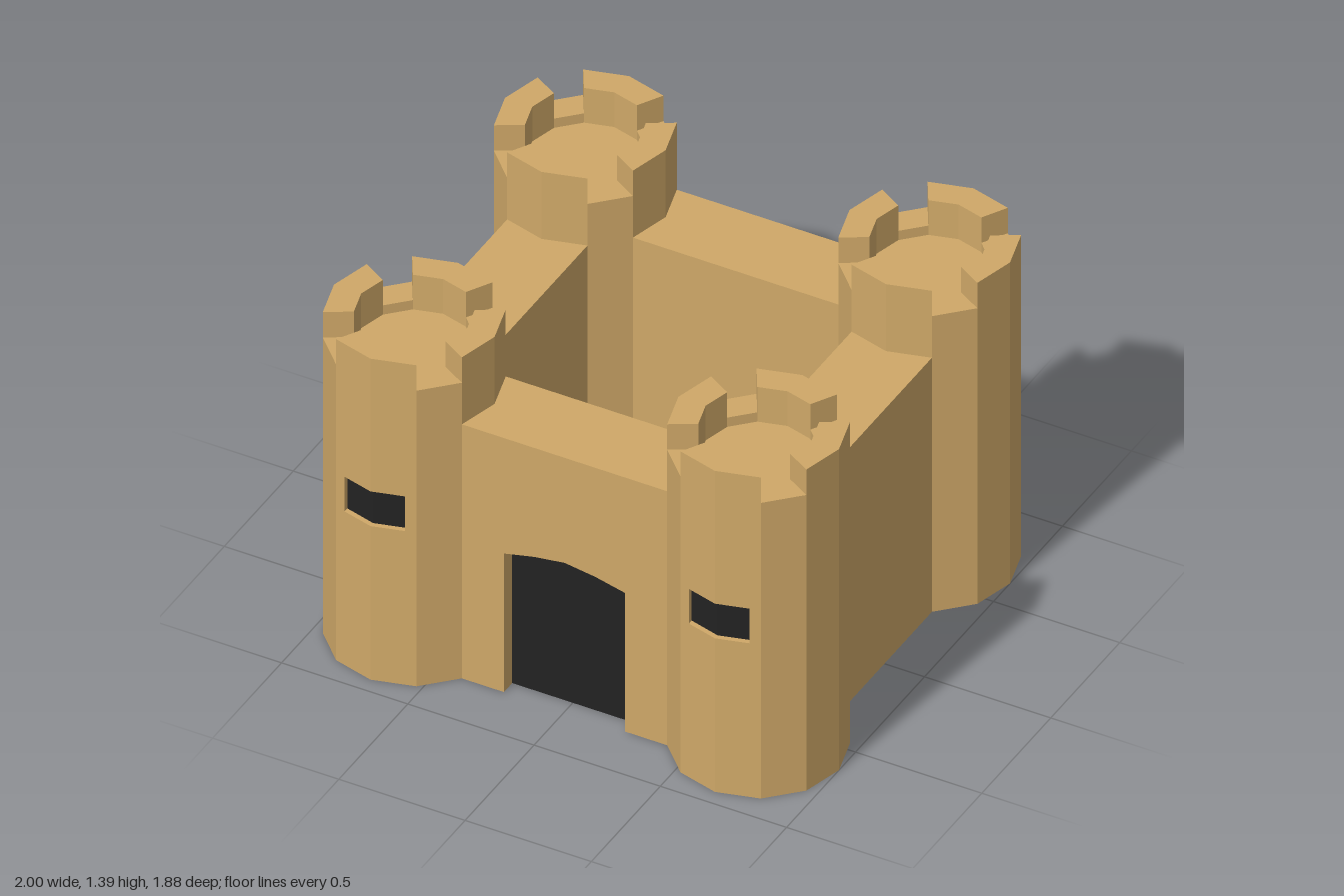
import * as THREE from 'three';

const stone = new THREE.MeshStandardMaterial({ color: 0xcfa868, side: THREE.DoubleSide });
stone.name = 'sandstone';
const dark = new THREE.MeshStandardMaterial({ color: 0x222222, side: THREE.DoubleSide });
dark.name = 'darkOpening';

const CX = 0.682, CZ = 0.62;            // tower centres
const RO = 0.318, RI = 0.21;            // outer and inner tower radius
const TOP = 1.39, NOTCH = 1.28, FLOOR = 1.24, WALL = 1.1;
const STEP = Math.PI / 6;

// Collects flat-shaded quads, optionally mirrored
function quadMesh(name, material, fill, sx = 1, sz = 1) {
  const pos = [];
  const tri = (a, b, c) => {
    const order = sx * sz < 0 ? [a, c, b] : [a, b, c];
    for (const p of order) pos.push(p[0] * sx, p[1], p[2] * sz);
  };
  fill((a, b, c, d) => {
    tri(a, b, c);
    if (d) tri(a, c, d);
  });
  const geo = new THREE.BufferGeometry();
  geo.setAttribute('position', new THREE.Float32BufferAttribute(pos, 3));
  geo.computeVertexNormals();
  const mesh = new THREE.Mesh(geo, material);
  mesh.name = name;
  return mesh;
}

// Point on a tower ring at corner i
const ring = (r, i, y) => [r * Math.cos(i * STEP), y, r * Math.sin(i * STEP)];
const isNotch = i => i % 3 === 1;

// Window opening, following the fold of the two outward facets
const WX = 0.12, WY0 = 0.665, WY1 = 0.815, DEPTH = 0.02;
const foldZ = x => RO - Math.abs(x) * Math.tan(Math.PI / 12);
const onFold = (x, y, d = 0) => [x, y, foldZ(x) - d];

function makeTower(sx, sz) {
  const tower = new THREE.Group();
  tower.name = 'tower';

  tower.add(quadMesh('towerBody', stone, quad => {
    for (let i = 0; i < 12; i++) {
      if (i === 2 || i === 3) continue;                    // window facets
      const joinsWall = [5, 6, 8, 9].includes(i);
      const y0 = joinsWall ? WALL : 0;
      quad(ring(RO, i + 1, y0), ring(RO, i, y0), ring(RO, i, NOTCH), ring(RO, i + 1, NOTCH));
    }
    const panel = (xa, xb, ya, yb) =>
      quad(onFold(xa, ya), onFold(xb, ya), onFold(xb, yb), onFold(xa, yb));
    const e = RO / 2;
    for (const [xa, xb] of [[-e, 0], [0, e]]) {
      panel(xa, xb, 0, WY0);
      panel(xa, xb, WY1, NOTCH);
    }
    panel(-e, -WX, WY0, WY1);
    panel(WX, e, WY0, WY1);
    // window reveals
    for (const [xa, xb] of [[-WX, 0], [0, WX]]) {
      quad(onFold(xa, WY0), onFold(xb, WY0), onFold(xb, WY0, DEPTH), onFold(xa, WY0, DEPTH));
      quad(onFold(xa, WY1, DEPTH), onFold(xb, WY1, DEPTH), onFold(xb, WY1), onFold(xa, WY1));
    }
    quad(onFold(-WX, WY0), onFold(-WX, WY0, DEPTH), onFold(-WX, WY1, DEPTH), onFold(-WX, WY1));
    quad(onFold(WX, WY0, DEPTH), onFold(WX, WY0), onFold(WX, WY1), onFold(WX, WY1, DEPTH));
  }, sx, sz));

  tower.add(quadMesh('window', dark, quad => {
    for (const [xa, xb] of [[-WX, 0], [0, WX]])
      quad(onFold(xa, WY0, DEPTH), onFold(xb, WY0, DEPTH), onFold(xb, WY1, DEPTH), onFold(xa, WY1, DEPTH));
  }, sx, sz));

  tower.add(quadMesh('battlement', stone, quad => {
    for (let i = 0; i < 12; i++) {
      const j = i + 1, top = isNotch(i) ? NOTCH : TOP;
      quad(ring(RO, j, top), ring(RO, i, top), ring(RI, i, top), ring(RI, j, top));
      quad(ring(RI, i, FLOOR), ring(RI, j, FLOOR), ring(RI, j, top), ring(RI, i, top));
      quad([0, FLOOR, 0], ring(RI, j, FLOOR), ring(RI, i, FLOOR));
      if (isNotch(i)) {                                     // merlon ends
        quad(ring(RI, i, NOTCH), ring(RO, i, NOTCH), ring(RO, i, TOP), ring(RI, i, TOP));
        quad(ring(RO, j, NOTCH), ring(RI, j, NOTCH), ring(RI, j, TOP), ring(RO, j, TOP));
      } else {
        quad(ring(RO, j, NOTCH), ring(RO, i, NOTCH), ring(RO, i, TOP), ring(RO, j, TOP));
      }
    }
  }, sx, sz));

  tower.position.set(sx * CX, 0, sz * CZ);
  return tower;
}

// Arched doorway outline, from lower left to lower right
const doorway = [[-0.24, 0], [-0.24, 0.6], [-0.12, 0.628], [0, 0.645], [0.12, 0.628], [0.24, 0.6], [0.24, 0]];
const DOOR_DEPTH = 0.06;

function flatShape(name, points, material, z) {
  const shape = new THREE.Shape(points.map(p => new THREE.Vector2(p[0], p[1])));
  const mesh = new THREE.Mesh(new THREE.ShapeGeometry(shape), material);
  mesh.name = name;
  mesh.position.z = z;
  return mesh;
}

// Open-bottomed curtain wall facing +z, turned into place
function makeWall(name, half, centre, angle, hasDoor) {
  const wall = new THREE.Group();
  wall.name = name;
  const zo = centre + RO / 2, zi = centre - RO / 2;
  const outline = [[-half, 0], ...(hasDoor ? doorway : []), [half, 0], [half, WALL], [-half, WALL]];
  wall.add(flatShape('wallFace', outline, stone, zo));
  wall.add(quadMesh('wallTopAndInside', stone, quad => {
    quad([-half, WALL, zo], [half, WALL, zo], [half, WALL, zi], [-half, WALL, zi]);
    quad([half, 0, zi], [-half, 0, zi], [-half, WALL, zi], [half, WALL, zi]);
  }));
  if (hasDoor) {
    const zd = zo - DOOR_DEPTH;
    wall.add(quadMesh('doorReveal', stone, quad => {
      for (let k = 0; k < doorway.length - 1; k++) {
        const [a, b] = [doorway[k], doorway[k + 1]];
        quad([...a, zo], [...a, zd], [...b, zd], [...b, zo]);
      }
    }));
    wall.add(flatShape('door', doorway, dark, zd));
  }
  wall.rotation.y = angle;
  return wall;
}

export function createModel() {
  const castle = new THREE.Group();
  castle.name = 'castle';
  for (const sx of [-1, 1]) for (const sz of [-1, 1]) castle.add(makeTower(sx, sz));

  const reach = RO * Math.cos(STEP);      // where walls meet the towers
  castle.add(makeWall('frontWall', CX - reach, CZ, 0, true));
  castle.add(makeWall('backWall', CX - reach, CZ, Math.PI, false));
  castle.add(makeWall('leftWall', CZ - reach, CX, Math.PI / 2, false));
  castle.add(makeWall('rightWall', CZ - reach, CX, -Math.PI / 2, false));
  return castle;
}
